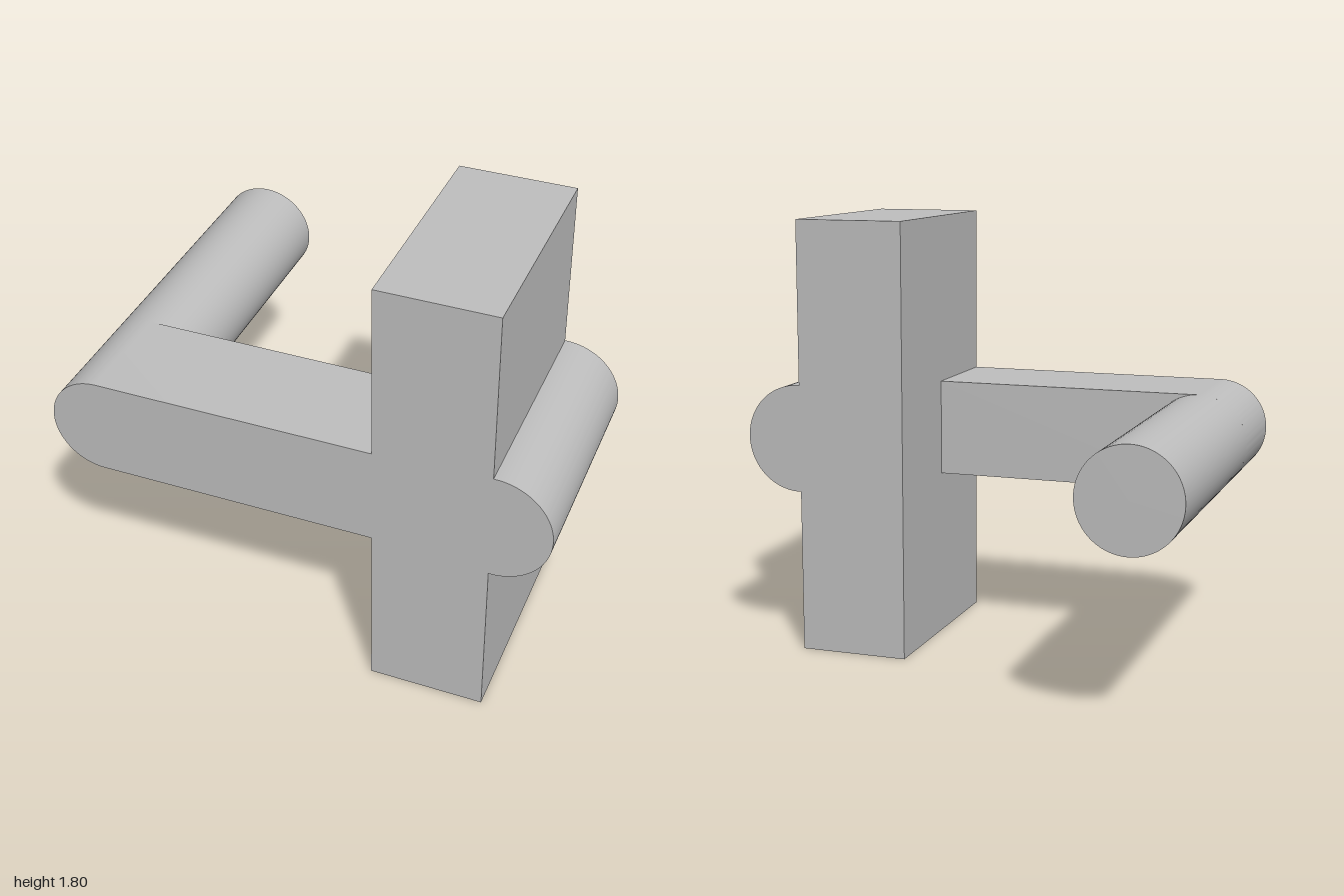
import * as THREE from 'three';
import { toCreasedNormals } from 'three/addons/utils/BufferGeometryUtils.js';

const MID_Y = 0.9;      // height of the crank axis
const FRONT = 0.785;    // shared front plane
const BLOCK = { x0: 0.315, x1: 0.77, back: -0.11, height: 1.8 };
const ROD = { x: -0.8, r: 0.2 };
const ARM_BACK = 0.335;

export function createModel() {
  const group = new THREE.Group();
  const grey = new THREE.MeshStandardMaterial({ color: 0xbfbfbf });
  grey.name = 'plain grey';

  const add = (name, geometry, x, y, z) => {
    const mesh = new THREE.Mesh(geometry, grey);
    mesh.name = name;
    mesh.position.set(x, y, z);
    group.add(mesh);
  };

  // Extrude a profile along z, smooth on the round and sharp at the rims
  const prism = (shape, depth) => toCreasedNormals(
    new THREE.ExtrudeGeometry(shape, { depth, bevelEnabled: false, curveSegments: 40 }), 0.6);

  // Upright block
  const width = BLOCK.x1 - BLOCK.x0;
  const depth = FRONT - BLOCK.back;
  add('uprightBlock', new THREE.BoxGeometry(width, BLOCK.height, depth),
    (BLOCK.x0 + BLOCK.x1) / 2, BLOCK.height / 2, (FRONT + BLOCK.back) / 2);

  // Rounded boss running along the block's outer side
  const bossX = 0.777, bossR = 0.223;
  const boss = new THREE.Shape();
  boss.moveTo(BLOCK.x1, -bossR);
  boss.lineTo(bossX, -bossR);
  boss.absarc(bossX, 0, bossR, -Math.PI / 2, Math.PI / 2, false);
  boss.lineTo(BLOCK.x1, bossR);
  boss.closePath();
  add('sideBoss', prism(boss, depth), 0, MID_Y, BLOCK.back);

  // Crank arm with a round outer end
  const arm = new THREE.Shape();
  arm.moveTo(BLOCK.x0, ROD.r);
  arm.lineTo(ROD.x, ROD.r);
  arm.absarc(ROD.x, 0, ROD.r, Math.PI / 2, Math.PI * 1.5, false);
  arm.lineTo(BLOCK.x0, -ROD.r);
  arm.closePath();
  add('crankArm', prism(arm, FRONT - ARM_BACK), 0, MID_Y, ARM_BACK);

  // Handle rod reaching backwards from the arm's end
  const rodLength = ARM_BACK + FRONT;
  const rod = new THREE.CylinderGeometry(ROD.r, ROD.r, rodLength, 80).rotateX(Math.PI / 2);
  add('handleRod', rod, ROD.x, MID_Y, ARM_BACK - rodLength / 2);

  return group;
}
